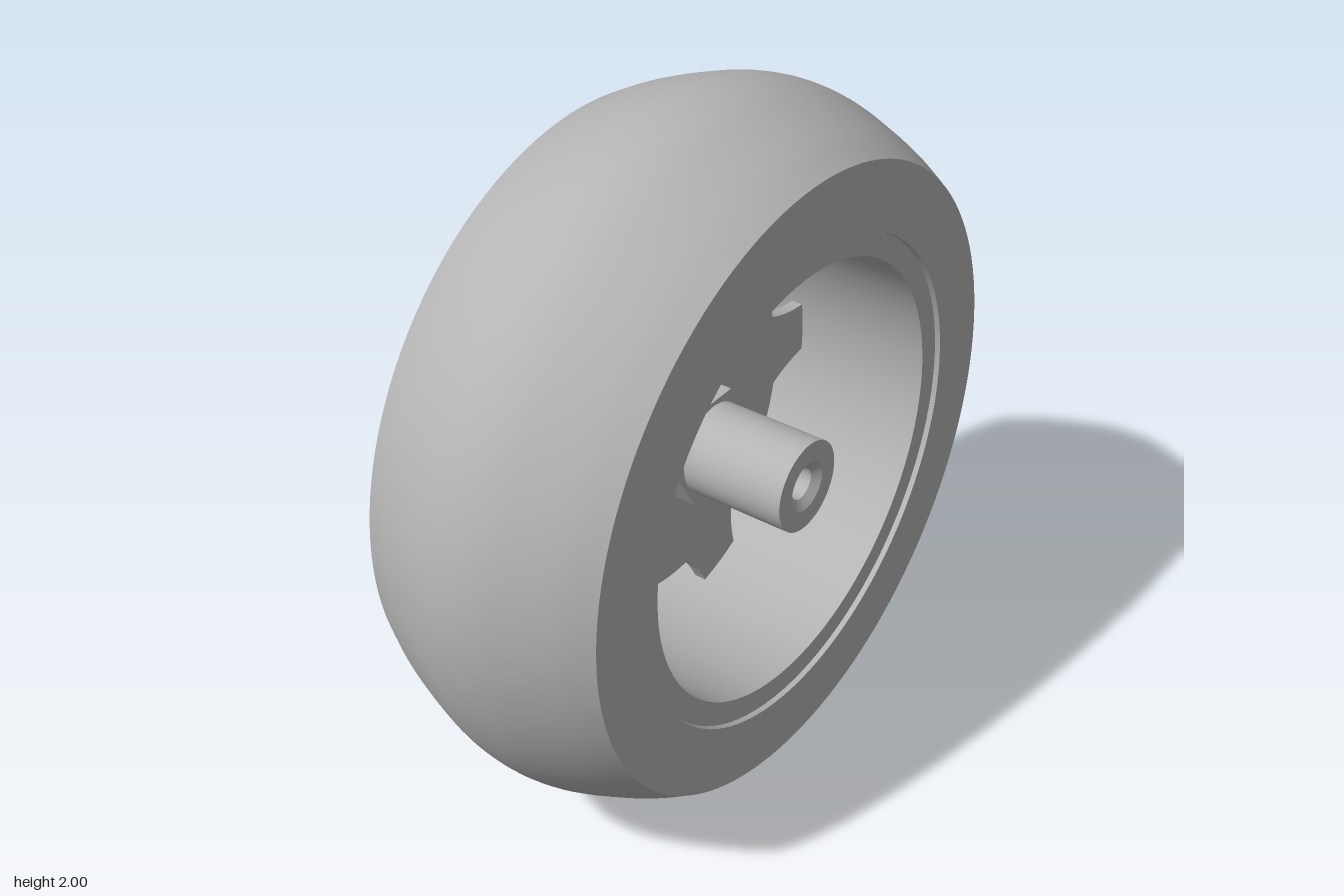
import * as THREE from 'three';
import { mergeGeometries } from 'three/addons/utils/BufferGeometryUtils.js';
import { ParametricGeometry } from 'three/addons/geometries/ParametricGeometry.js';
import { ConvexGeometry } from 'three/addons/geometries/ConvexGeometry.js';

const TAU = Math.PI * 2;
const SPOKES = 5;
const FIRST_ANGLE = THREE.MathUtils.degToRad(2);

export function createModel() {
  const model = new THREE.Group();
  const wheel = new THREE.Group(); // axle along z, centred on the hub
  wheel.name = 'wheel';
  wheel.position.y = 1;
  model.add(wheel);

  const grey = new THREE.MeshStandardMaterial({ color: 0xb4b4b4, side: THREE.DoubleSide });
  grey.name = 'plain grey';

  const add = (name, geometry, parent = wheel) => {
    const mesh = new THREE.Mesh(geometry, grey);
    mesh.name = name;
    parent.add(mesh);
    return mesh;
  };

  // Turned piece around z: each run of [radius, z] is smooth, runs meet in sharp edges
  const turn = (runs, segments = 96, start = 0, length = TAU) =>
    mergeGeometries(runs.map(run => new THREE.LatheGeometry(
      run.map(([r, z]) => new THREE.Vector2(r, z)), segments, start, length))).rotateX(Math.PI / 2);

  // Closed profile with every corner sharp
  const sharp = pts => pts.map((p, i) => [p, pts[(i + 1) % pts.length]]);

  // Tyre: crowned tread with flat sidewalls
  const back = -0.361, front = 0.353;
  const tread = new THREE.SplineCurve([
    [0.88, back], [0.924, -0.28], [0.964, -0.18], [0.991, -0.09], [1, -0.004],
    [0.991, 0.082], [0.964, 0.172], [0.924, 0.272], [0.88, front],
  ].map(p => new THREE.Vector2(...p))).getPoints(32).map(p => [p.x, p.y]);
  add('tyre', turn([
    tread,
    [[0.88, front], [0.69, front]],
    [[0.69, front], [0.69, back]],
    [[0.69, back], [0.88, back]],
  ], 128));

  // Rim: set slightly inside the sidewalls
  add('rim', turn(sharp([[0.688, -0.346], [0.688, 0.338], [0.62, 0.338], [0.62, -0.346]])));

  // Hub disc: flat front, shallow dome behind
  const dome = [];
  for (let i = 0; i <= 10; i++) {
    const r = 0.15 + (0.475 - 0.15) * i / 10;
    dome.push([r, -0.095 - 0.065 * (1 - (r / 0.475) ** 2)]);
  }
  add('hubDisc', turn([
    dome,
    [[0.475, -0.095], [0.475, -0.058]],
    [[0.475, -0.058], [0.12, -0.058]],
  ]));

  // Spokes: flared where they meet the disc
  const spokeShape = new THREE.Shape();
  spokeShape.moveTo(0.43, -0.135);
  spokeShape.quadraticCurveTo(0.52, -0.08, 0.64, -0.075);
  spokeShape.lineTo(0.64, 0.075);
  spokeShape.quadraticCurveTo(0.52, 0.08, 0.43, 0.135);
  const spokeGeometry = new THREE.ExtrudeGeometry(spokeShape,
    { depth: 0.035, bevelEnabled: false, curveSegments: 10 }).translate(0, 0, -0.098);

  // Ribs: tapering fins between the rear collar and the dome
  const ribGeometry = new ConvexGeometry([
    [0.15, -0.018, -0.13], [0.15, 0.018, -0.13], [0.15, -0.01, -0.185], [0.15, 0.01, -0.185],
    [0.31, 0, -0.135], [0.31, 0, -0.125],
  ].map(p => new THREE.Vector3(...p)));

  for (let i = 0; i < SPOKES; i++) {
    const angle = FIRST_ANGLE + i * TAU / SPOKES;
    add('spoke', spokeGeometry).rotation.z = angle;
    add('rearRib', ribGeometry).rotation.z = angle;
  }

  // Rear collar with a recessed floor around the bore
  add('rearCollar', turn([
    [[0.163, -0.19], [0.163, -0.1]],
    [[0.135, -0.19], [0.163, -0.19]],
    [[0.135, -0.145], [0.135, -0.19]],
    [[0.045, -0.145], [0.135, -0.145]],
  ], 64));

  // Front flange
  add('flange', turn([
    [[0.2, -0.06], [0.2, 0]],
    [[0.2, 0], [0.12, 0]],
  ], 64));

  // Hexagonal nut
  const hex = new THREE.Shape();
  for (let i = 0; i < 6; i++) {
    const a = i * TAU / 6;
    hex[i ? 'lineTo' : 'moveTo'](0.166 * Math.cos(a), 0.166 * Math.sin(a));
  }
  hex.closePath();
  hex.holes.push(new THREE.Path().absarc(0, 0, 0.125, 0, TAU, true));
  add('hexNut', new THREE.ExtrudeGeometry(hex,
    { depth: 0.06, bevelEnabled: false, curveSegments: 32 }));

  // Shaft: sleeve with a chamfered bore and a round cross hole
  const shaft = new THREE.Group();
  shaft.name = 'shaft';
  wheel.add(shaft);
  const R = 0.13, bore = 0.045, tip = 0.363;
  const holeAngle = THREE.MathUtils.degToRad(36), holeZ = 0.3, holeR = 0.033, half = 0.05;
  add('shaftSleeve', turn([
    [[R, -0.058], [R, holeZ - half]],
    [[R, holeZ + half], [R, tip]],
    [[R, tip], [0.072, tip]],
    [[0.072, tip], [bore, 0.345]],
    [[bore, 0.345], [bore, -0.145]],
  ], 64), shaft);
  const gap = half / R;
  add('shaftBand', turn([[[R, holeZ - half], [R, holeZ + half]]], 56,
    holeAngle + Math.PI / 2 + gap, TAU - 2 * gap), shaft);

  // Place a point given along the shaft's curved face
  const onShaft = (p, q, r, target) => {
    const a = holeAngle + p / R;
    target.set(r * Math.cos(a), r * Math.sin(a), holeZ + q);
  };
  add('shaftHoleSurround', new ParametricGeometry((u, v, target) => {
    const c = Math.cos(u * TAU), s = -Math.sin(u * TAU);
    const outer = half / Math.max(Math.abs(c), Math.abs(s));
    const d = THREE.MathUtils.lerp(holeR, outer, v);
    onShaft(c * d, s * d, R, target);
  }, 32, 2), shaft);
  add('shaftHoleWall', new ParametricGeometry((u, v, target) => {
    const c = Math.cos(u * TAU), s = -Math.sin(u * TAU);
    onShaft(c * holeR, s * holeR, THREE.MathUtils.lerp(bore, R, v), target);
  }, 32, 1), shaft);

  return model;
}
